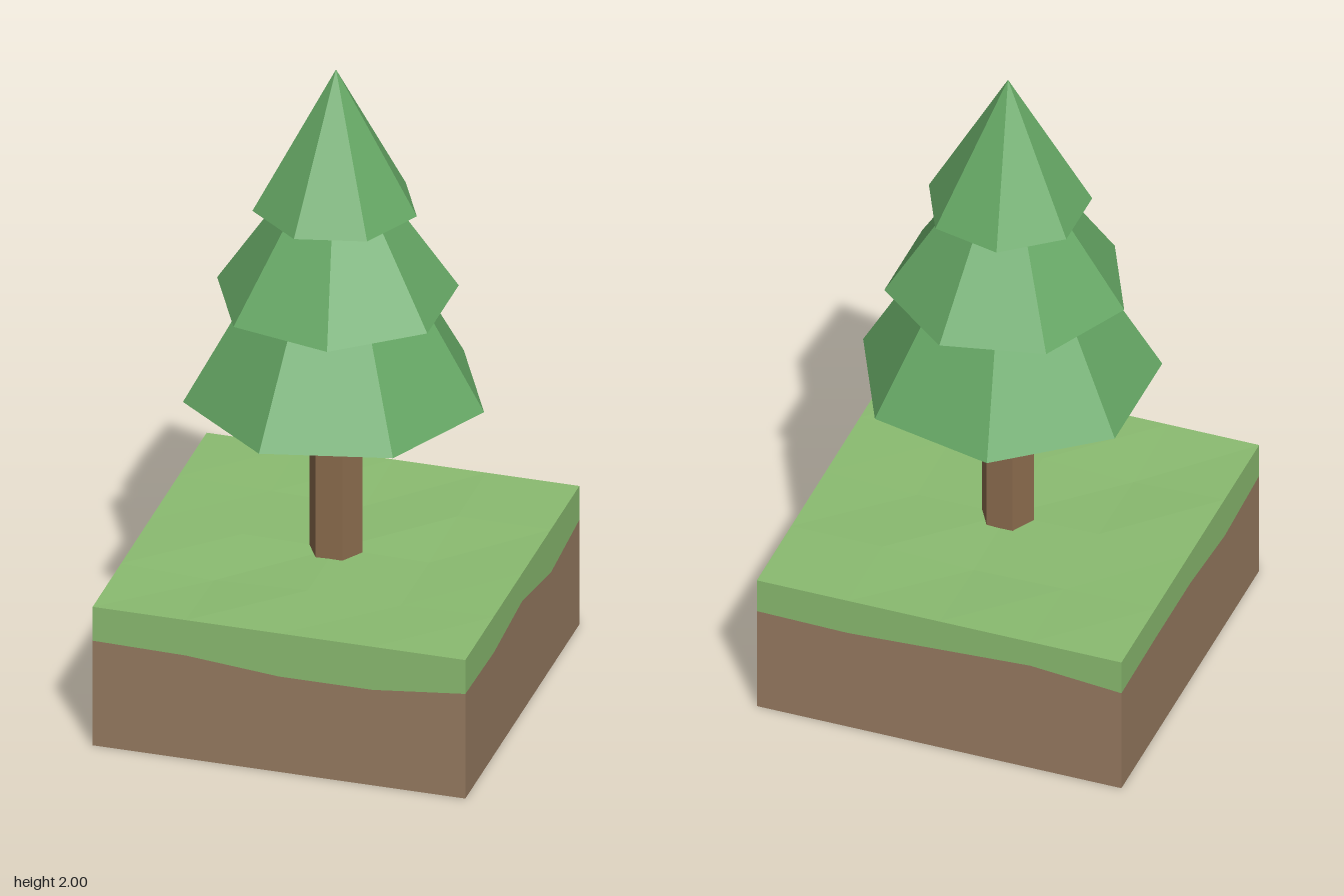
import * as THREE from 'three';

const HALF = 0.56, STEP = HALF / 2, TOP = 0.45;

// Height of the grass/soil border at five stations along each side
const FRONT = [0.34, 0.335, 0.31, 0.31, 0.34];  // x from -HALF to HALF
const BACK = [0.34, 0.365, 0.35, 0.335, 0.34];
const RIGHT = [0.34, 0.345, 0.345, 0.32, 0.34]; // z from -HALF to HALF
const LEFT = [0.34, 0.31, 0.36, 0.333, 0.34];

function borderHeight(x, z) {
  const i = Math.round((x + HALF) / STEP), k = Math.round((z + HALF) / STEP);
  if (k === 4) return FRONT[i];
  if (k === 0) return BACK[i];
  if (i === 0) return RIGHT[k];
  if (i === 4) return LEFT[k];
  return 0.34;
}

// Very slight dips inside the lawn; the rim stays level
function lawnHeight(x, z) {
  const inside = Math.max(Math.abs(x), Math.abs(z)) < HALF - 0.01;
  return inside ? TOP - 0.006 * (1 + Math.sin(x * 9 + z * 14)) : TOP;
}

export function createModel() {
  const model = new THREE.Group();

  const add = (name, geometry, color, y = 0) => {
    const material = new THREE.MeshStandardMaterial({ color, flatShading: true });
    const mesh = new THREE.Mesh(geometry, material);
    mesh.name = name;
    mesh.position.y = y;
    model.add(mesh);
  };

  // Square slab whose bottom and top follow height rules
  const slab = (bottom, top) => {
    const g = new THREE.BoxGeometry(HALF * 2, 1, HALF * 2, 4, 1, 4);
    const p = g.attributes.position;
    for (let i = 0; i < p.count; i++) {
      const rule = p.getY(i) > 0 ? top : bottom;
      p.setY(i, rule(p.getX(i), p.getZ(i)));
    }
    g.computeVertexNormals();
    return g;
  };

  // Ground block
  add('soil', slab(() => 0, borderHeight), 0x967a60);
  add('grass', slab(borderHeight, lawnHeight), 0x8abb70);

  // Hexagonal trunk, reaching into the foliage
  add('trunk', new THREE.CylinderGeometry(0.08, 0.08, 0.61, 6, 1, false, Math.PI / 2), 0x8a6b4d, 0.735);

  // Seven-sided foliage tiers, alternately turned: [name, radius, base, apex, corner direction]
  const tiers = [
    ['lowerFoliage', 0.445, 0.955, 1.74, 1],
    ['middleFoliage', 0.357, 1.27, 1.81, -1],
    ['upperFoliage', 0.243, 1.56, 2, 1],
  ];
  for (const [name, radius, base, apex, side] of tiers) {
    const cone = new THREE.ConeGeometry(radius, apex - base, 7, 1, false, side * Math.PI / 2);
    add(name, cone, 0x66a865, (base + apex) / 2);
  }

  return model;
}
